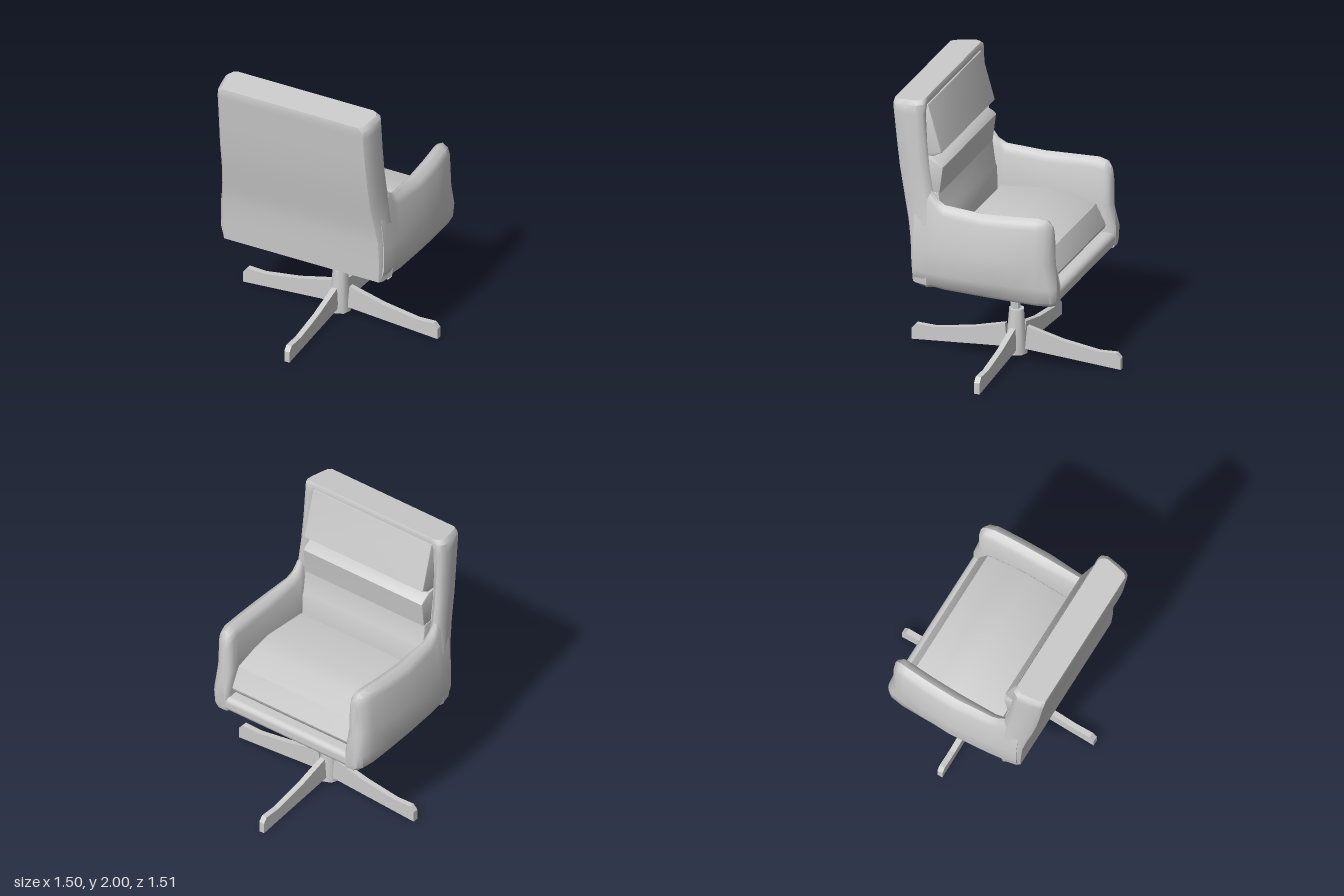
import * as THREE from 'three';
import { toCreasedNormals } from 'three/addons/utils/BufferGeometryUtils.js';
import { RoundedBoxGeometry } from 'three/addons/geometries/RoundedBoxGeometry.js';

const material = new THREE.MeshStandardMaterial({ color: 0xcccccc });

function addMesh(parent, name, geometry, x = 0, y = 0, z = 0) {
  const mesh = new THREE.Mesh(geometry, material);
  mesh.name = name;
  mesh.position.set(x, y, z);
  parent.add(mesh);
  return mesh;
}

// Closed skin over rings of equal point count, capped at both ends and facing outwards
function loft(rings, crease = 0.75) {
  const n = rings[0].length;
  const points = rings.flat();
  const index = [];
  for (let r = 0; r < rings.length - 1; r++) {
    for (let i = 0; i < n; i++) {
      const a = r * n + i, b = r * n + (i + 1) % n;
      index.push(a, b, b + n, a, b + n, a + n);
    }
  }
  for (const r of [0, rings.length - 1]) {
    const c = points.length;
    points.push([0, 1, 2].map(k => rings[r].reduce((s, p) => s + p[k], 0) / n));
    for (let i = 0; i < n; i++) {
      const a = r * n + i, b = r * n + (i + 1) % n;
      index.push(...(r === 0 ? [c, b, a] : [c, a, b]));
    }
  }
  // Signed volume tells whether the winding must be reversed
  const v = points.map(p => new THREE.Vector3(...p));
  let volume = 0;
  for (let i = 0; i < index.length; i += 3) {
    volume += v[index[i]].dot(v[index[i + 1]].clone().cross(v[index[i + 2]]));
  }
  if (volume < 0) index.reverse();
  const geometry = new THREE.BufferGeometry();
  geometry.setAttribute('position', new THREE.Float32BufferAttribute(points.flat(), 3));
  geometry.setIndex(index);
  return toCreasedNormals(geometry, crease);
}

// Cushion from a side outline of [z, y] points, running from x0 to x1
function cushion(outline, x0, x1, bevel = 0.012) {
  const shape = new THREE.Shape(outline.map(([z, y]) => new THREE.Vector2(-z, y)));
  const geometry = new THREE.ExtrudeGeometry(shape, {
    depth: x1 - x0 - 2 * bevel, bevelEnabled: true, bevelThickness: bevel,
    bevelSize: bevel, bevelOffset: -bevel, bevelSegments: 2,
  });
  geometry.rotateY(Math.PI / 2).translate(x0 + bevel, 0, 0);
  return toCreasedNormals(geometry, 0.6);
}

// Back shell, by height: y, half width, rear z, wing front z, inner panel z
function backShell() {
  const levels = [
    [0.66, 0.61, 0.49, 0.38, 0.39],
    [0.685, 0.635, 0.53, 0.37, 0.38],
    [0.82, 0.645, 0.537, 0.36, 0.37],
    [1.00, 0.64, 0.545, 0.36, 0.39],
    [1.13, 0.625, 0.565, 0.37, 0.41],
    [1.30, 0.61, 0.60, 0.385, 0.44],
    [1.50, 0.605, 0.635, 0.42, 0.47],
    [1.70, 0.60, 0.66, 0.44, 0.48],
    [1.90, 0.597, 0.682, 0.455, 0.475],
    [1.95, 0.592, 0.688, 0.455, 0.457],
    [1.978, 0.565, 0.685, 0.468, 0.468],
  ];
  return loft(levels.map(([y, w, rear, front, panel], i) => {
    const half = [
      [w - 0.045, rear], [w - 0.025, rear - 0.025], [w - 0.012, rear - 0.09], [w, front + 0.05],
      [w - 0.02, front + 0.01], [w - 0.045, front], [w - 0.08, (front + panel) / 2], [w - 0.09, panel],
    ];
    const ring = [...half, ...half.map(([x, z]) => [-x, z]).reverse()];
    // The top face rises towards the front
    const tilt = i >= levels.length - 2 ? 0.1 : 0;
    return ring.map(([x, z]) => [x, y + tilt * (0.69 - z), z]);
  }));
}

// Arm, by depth: z, bottom y, top y, outer x low, middle and high, inner x
function arm(side) {
  const stations = [
    [0.515, 0.69, 1.33, 0.61, 0.625, 0.59, 0.53],
    [0.40, 0.665, 1.36, 0.625, 0.65, 0.605, 0.525],
    [0.355, 0.665, 1.30, 0.63, 0.655, 0.61, 0.52],
    [0.30, 0.66, 1.268, 0.635, 0.66, 0.62, 0.52],
    [0.02, 0.655, 1.25, 0.645, 0.682, 0.645, 0.515],
    [-0.20, 0.65, 1.26, 0.645, 0.67, 0.64, 0.51],
    [-0.37, 0.645, 1.27, 0.64, 0.65, 0.63, 0.50],
    [-0.43, 0.645, 1.26, 0.625, 0.635, 0.615, 0.495],
    [-0.465, 0.65, 1.225, 0.60, 0.61, 0.59, 0.505],
    [-0.475, 0.68, 1.19, 0.575, 0.585, 0.575, 0.52],
  ];
  return loft(stations.map(([z, b, t, low, mid, high, inner]) => [
    [inner, b], [low - 0.03, b], [low, b + 0.03], [mid, 0.78], [mid, 0.95],
    [high + 0.005, t - 0.07], [high - 0.01, t - 0.025], [(high + inner) / 2 + 0.01, t],
    [inner + 0.03, t - 0.02], [inner + 0.012, t - 0.06], [inner, 0.95], [inner, 0.78],
  ].map(([x, y]) => {
    // The front edge flares forward near the floor and pinches at mid height
    const lean = z < -0.4 ? (y < 0.85 ? -0.035 : y < 1 ? 0.008 : 0) : 0;
    return [side * x, y, z + lean];
  })));
}

// Tapering foot, pointing along +x
function footGeometry() {
  const outline = [[0.06, 0.055], [0.75, 0.005], [0.75, 0.085], [0.72, 0.12],
    [0.59, 0.115], [0.33, 0.155], [0.075, 0.22]];
  const shape = new THREE.Shape(outline.map(p => new THREE.Vector2(...p)));
  return new THREE.ExtrudeGeometry(shape, { depth: 0.04, bevelEnabled: false })
    .translate(0, 0, -0.02);
}

export function createModel() {
  const model = new THREE.Group();
  model.name = 'swivelArmchair';

  // Upholstered body
  const body = new THREE.Group();
  body.name = 'body';
  body.position.x = -0.018;
  model.add(body);
  addMesh(body, 'backShell', backShell());
  addMesh(body, 'leftArm', arm(1));
  addMesh(body, 'rightArm', arm(-1));
  addMesh(body, 'seatBase', new THREE.BoxGeometry(1.14, 0.09, 0.94), 0, 0.7, 0.01);
  addMesh(body, 'frontRail', new RoundedBoxGeometry(1.18, 0.11, 0.13, 3, 0.04), 0, 0.703, -0.44);

  // Loose cushions; the seat is slightly crowned and overhangs the rail
  addMesh(body, 'seatCushion', cushion([[0.31, 0.74], [0.31, 0.99], [-0.05, 1.03],
    [-0.2, 1.01], [-0.38, 0.96], [-0.45, 0.82], [-0.445, 0.8], [-0.39, 0.74]], -0.495, 0.5));
  addMesh(body, 'lowerBackPad', cushion([[0.45, 0.9], [0.335, 0.9], [0.34, 1.12],
    [0.35, 1.14], [0.375, 1.32], [0.47, 1.32]], -0.51, 0.51));
  addMesh(body, 'lumbarPillow', cushion([[0.5, 1.31], [0.37, 1.31], [0.345, 1.505],
    [0.365, 1.525], [0.43, 1.56], [0.52, 1.56]], -0.505, 0.505));
  addMesh(body, 'headPillow', cushion([[0.54, 1.57], [0.42, 1.575], [0.355, 1.61],
    [0.452, 1.95], [0.52, 1.955]], -0.505, 0.505));

  // Swivel base
  const base = new THREE.Group();
  base.name = 'base';
  base.position.x = -0.01;
  model.add(base);
  addMesh(base, 'stem', toCreasedNormals(
    new THREE.CylinderGeometry(0.036, 0.036, 0.36, 8), 0.5), 0, 0.5, 0.012);
  addMesh(base, 'hub', toCreasedNormals(
    new THREE.CylinderGeometry(0.053, 0.08, 0.32, 8), 0.9), 0.005, 0.18, 0.003);
  // Front, rear and side feet, each with a slight offset from the hub axis
  const foot = footGeometry();
  const offsets = [[0.01, 0], [0.003, -0.005], [0.01, -0.02], [0.003, 0.005]];
  offsets.forEach(([x, z], i) => {
    addMesh(base, 'foot' + (i + 1), foot, x, 0, z).rotation.y = i * Math.PI / 2;
  });
  return model;
}
